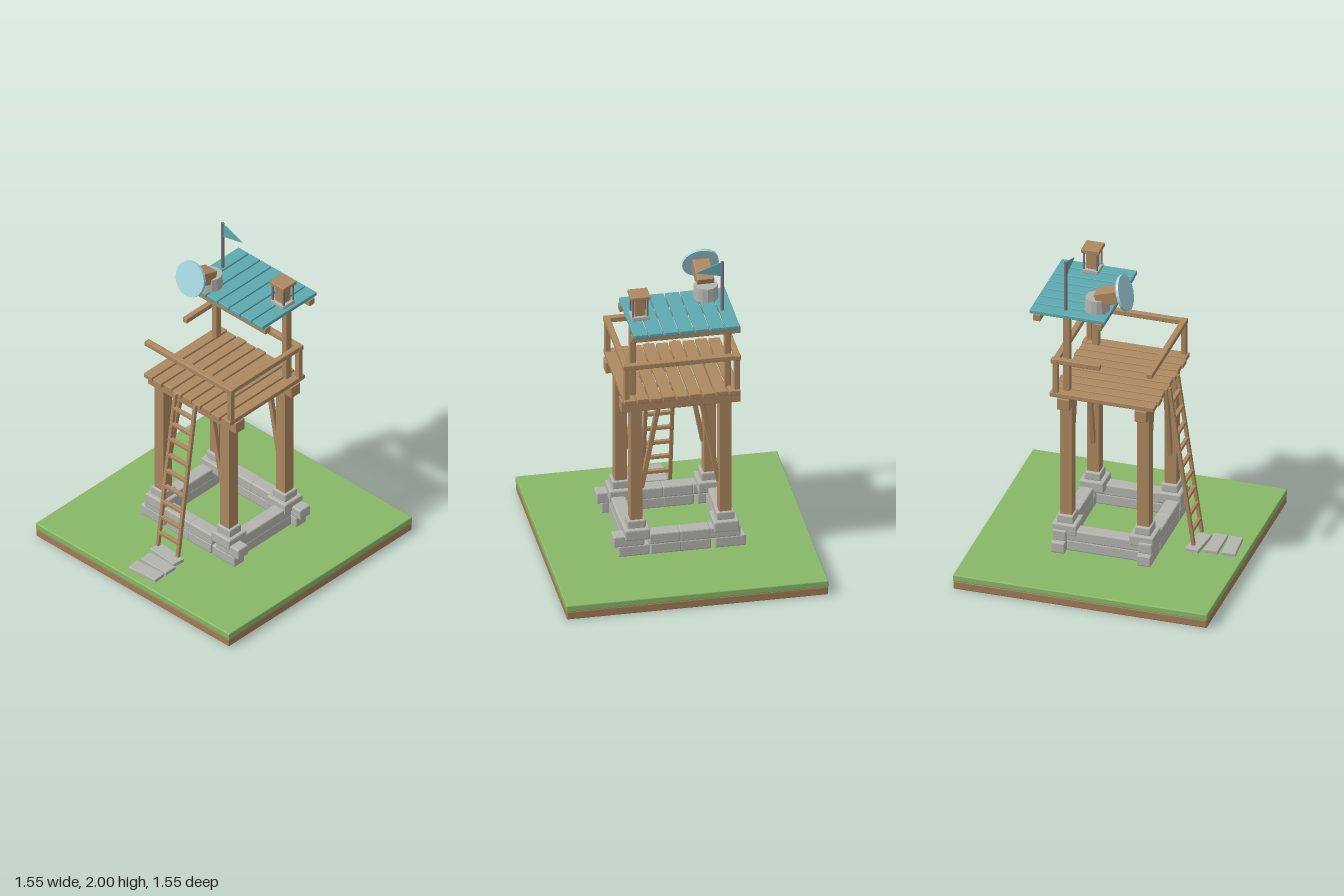
import * as THREE from 'three';
import { RoundedBoxGeometry } from 'three/addons/geometries/RoundedBoxGeometry.js';

const mat = (name, color, extra = {}) => {
  const m = new THREE.MeshStandardMaterial({ color, ...extra });
  m.name = name;
  return m;
};

export function createModel() {
  const wood = mat('wood', 0xac8860);
  const dirt = mat('dirt', 0xa47c56);
  const grass = mat('grass', 0x88b868);
  const stone = mat('stone', 0xb4b4ae);
  const teal = mat('teal paint', 0x5eaab0, { side: THREE.DoubleSide });
  const glass = mat('pale blue', 0xa4d4de);
  const metal = mat('metal', 0x77787a);

  const model = new THREE.Group();
  model.name = 'watchtower';
  const group = (name, parent = model) => {
    const g = new THREE.Group();
    g.name = name;
    parent.add(g);
    return g;
  };
  const add = (parent, name, geometry, material, x, y, z) => {
    const m = new THREE.Mesh(geometry, material);
    m.name = name;
    m.position.set(x, y, z);
    parent.add(m);
    return m;
  };
  // Box with small flat chamfers, given by its size and centre
  const box = (parent, name, material, [w, h, d], [x, y, z], bevel = 0.004) => {
    const g = new RoundedBoxGeometry(w, h, d, 1, bevel);
    g.computeVertexNormals();
    return add(parent, name, g, material, x, y, z);
  };
  // Square bar between two points
  const bar = (parent, name, a, b, width, depth) => {
    const p = new THREE.Vector3(...a), q = new THREE.Vector3(...b);
    const mid = p.clone().add(q).multiplyScalar(0.5);
    const m = box(parent, name, wood, [width, p.distanceTo(q), depth], mid.toArray(), 0.003);
    m.quaternion.setFromUnitVectors(new THREE.Vector3(0, 1, 0), q.sub(p).normalize());
    return m;
  };

  // Ground
  const ground = group('ground');
  box(ground, 'dirtSlab', dirt, [1.55, 0.052, 1.55], [0, 0.026, 0], 0.006);
  box(ground, 'grassSlab', grass, [1.555, 0.042, 1.555], [0, 0.072, 0], 0.006);

  // Stepping stones before the ladder
  [[0, 0.48, -0.1], [0.02, 0.58, 0], [0.02, 0.68, 0.08]].forEach(([x, z, turn]) => {
    box(ground, 'steppingStone', stone, [0.205, 0.025, 0.085], [x, 0.102, z]).rotation.y = turn;
  });

  // Two courses of stone: staggered rows front and back, long blocks at the sides
  const foundation = group('foundation');
  const courses = [
    { y: 0.146, xs: [-0.288, -0.082, 0.095, 0.283] },
    { y: 0.212, xs: [-0.258, -0.08, 0.1, 0.313] },
  ];
  for (const { y, xs } of courses) {
    for (const z of [0.263, -0.263])
      for (const x of xs) box(foundation, 'rowStone', stone, [0.184, 0.07, 0.085], [x, y, z], 0.008);
    for (const x of [-0.288, 0.288])
      box(foundation, 'sideStone', stone, [0.085, 0.07, 0.45], [x, y, 0], 0.008);
  }

  // Legs on stepped footings, with braces up to the cross beams
  const legs = group('legs');
  for (const sx of [-1, 1]) for (const sz of [-1, 1]) {
    const x = sx * 0.264, z = sz * 0.236;
    box(legs, 'footingLower', stone, [0.15, 0.07, 0.15], [x, 0.25, z], 0.008);
    box(legs, 'footingUpper', stone, [0.108, 0.055, 0.1], [x, 0.308, z], 0.008);
    box(legs, 'leg', wood, [0.075, 0.78, 0.075], [x, 0.7, z]);
    bar(legs, 'brace', [sx * 0.228, 0.53, z], [sx * 0.125, 1.08, z], 0.028, 0.028);
  }

  // Platform
  const platform = group('platform');
  for (const z of [0.236, -0.236])
    box(platform, 'crossBeam', wood, [0.71, 0.075, 0.075], [0, 1.097, z]);
  for (let i = 0; i < 9; i++)
    box(platform, 'deckBoard', wood, [0.068, 0.03, 0.638], [(i - 4) * 0.078, 1.149, i % 2 ? 0.004 : -0.003]);

  // Railing, with a gap at the front of one side
  const railing = group('railing');
  for (const [x, z] of [[0.328, 0.288], [0.328, -0.288], [-0.328, -0.288]])
    box(railing, 'railPost', wood, [0.032, 0.21, 0.032], [x, 1.265, z]);
  for (const z of [0.288, -0.288])
    box(railing, 'crossRail', wood, [0.7, 0.032, 0.036], [0, 1.374, z]);
  box(railing, 'longSideRail', wood, [0.034, 0.032, 0.61], [0.33, 1.374, 0]);
  box(railing, 'shortSideRail', wood, [0.034, 0.032, 0.3], [-0.33, 1.374, -0.165]);

  // Roof
  const roof = group('roof');
  for (const x of [-0.282, 0.282])
    box(roof, 'roofPost', wood, [0.038, 0.49, 0.042], [x, 1.405, -0.234]);
  for (const z of [-0.034, -0.408])
    box(roof, 'roofBeam', wood, [0.645, 0.042, 0.045], [0, 1.634, z]);
  for (let i = 0; i < 7; i++)
    box(roof, 'roofBoard', teal, [0.083, 0.024, 0.462], [(i - 3) * 0.091, 1.665, -0.224]);

  // Signal lamp: round pedestal, tilted housing and disc
  const lamp = group('signalLamp');
  const flatCylinder = (r1, r2, h, n) => {
    const g = new THREE.CylinderGeometry(r1, r2, h, n).toNonIndexed();
    g.computeVertexNormals();
    return g;
  };
  add(lamp, 'pedestal', flatCylinder(0.07, 0.075, 0.085, 14), stone, -0.185, 1.718, -0.08);
  const head = group('lampHead', lamp);
  head.position.set(-0.185, 1.812, 0.087);
  head.rotation.x = -0.32;
  box(head, 'housing', wood, [0.1, 0.082, 0.165], [0, 0, -0.09]);
  add(head, 'disc', flatCylinder(0.109, 0.109, 0.018, 20), glass, 0, 0, 0).rotation.x = Math.PI / 2;

  // Lantern
  const lantern = group('lantern');
  lantern.position.set(0.243, 0, -0.243);
  box(lantern, 'lanternBase', stone, [0.105, 0.025, 0.1], [0, 1.69, 0]);
  box(lantern, 'lanternCore', wood, [0.066, 0.115, 0.066], [0, 1.757, 0]);
  box(lantern, 'lanternCap', wood, [0.116, 0.025, 0.112], [0, 1.826, 0]);
  for (const sx of [-1, 1]) for (const sz of [-1, 1])
    box(lantern, 'lanternPost', metal, [0.011, 0.12, 0.011], [sx * 0.043, 1.757, sz * 0.04], 0.002);

  // Flag
  const flag = group('flag');
  add(flag, 'flagPole', new THREE.CylinderGeometry(0.01, 0.01, 0.33, 8), metal, -0.25, 1.835, -0.252);
  const pennant = new THREE.Shape([[0, 0.09], [0.152, 0.035], [0, 0]].map(p => new THREE.Vector2(...p)));
  add(flag, 'pennant', new THREE.ExtrudeGeometry(pennant, { depth: 0.006, bevelEnabled: false }),
    teal, -0.242, 1.905, -0.255);

  // Leaning ladder
  const ladder = group('ladder');
  const low = [0.13, 0.475], high = [1.16, 0.327];
  for (const x of [-0.08, 0.08])
    bar(ladder, 'ladderRail', [x, ...low], [x, ...high], 0.022, 0.022);
  for (let i = 0; i < 9; i++) {
    const y = 0.22 + i * 0.1055;
    const z = low[1] + (high[1] - low[1]) * (y - low[0]) / (high[0] - low[0]);
    box(ladder, 'rung', wood, [0.18, 0.022, 0.024], [0, y, z], 0.003);
  }
  return model;
}
